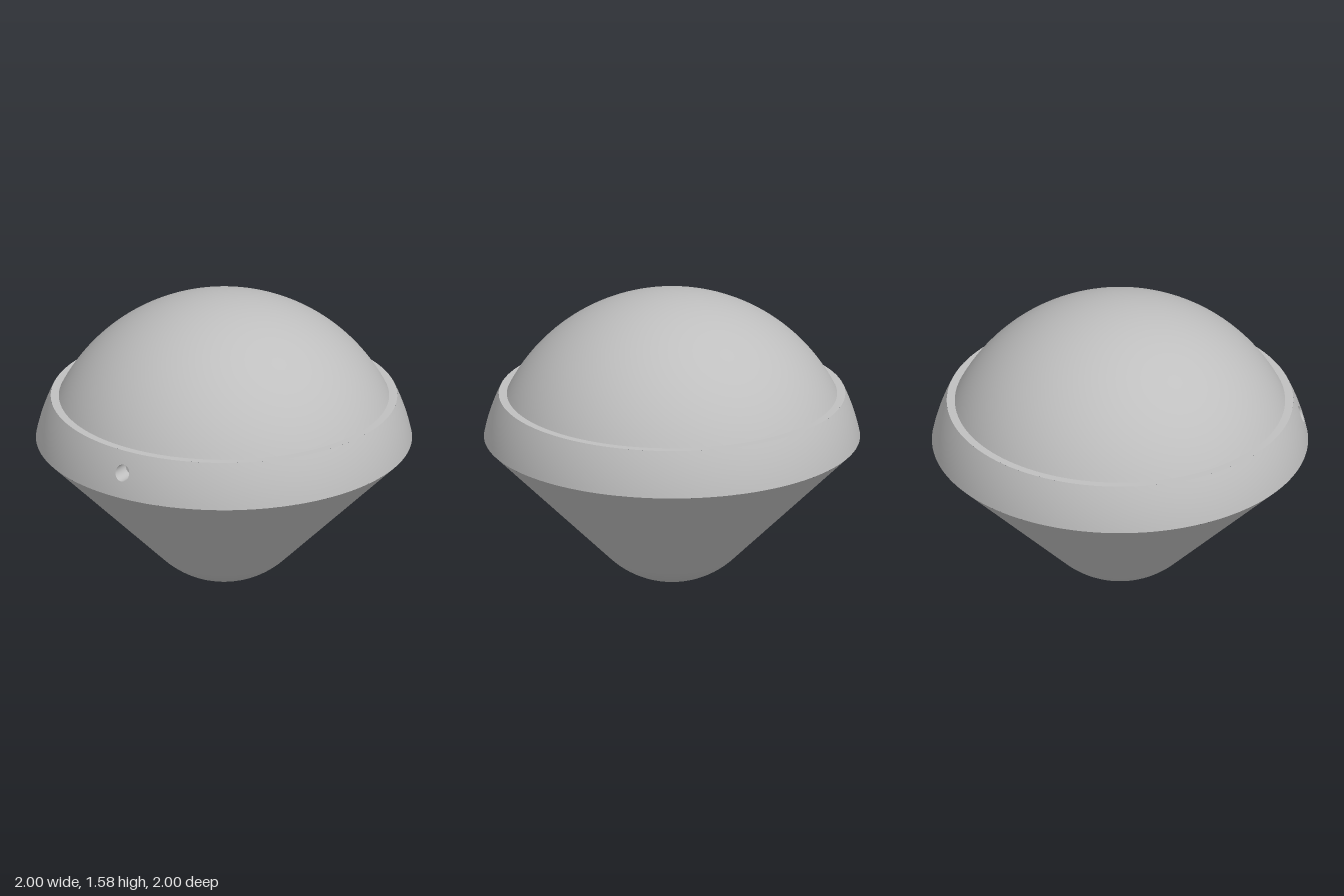
import * as THREE from 'three';

const CY = 0.6;            // shared centre height of dome and collar spheres
const R_DOME = 0.98, R_COLLAR = 1.019;
const Y_RIM = 0.795, Y_LIP = 1.035;
const HOLE_Y = 0.925, HOLE_R = 0.043, HOLE_Z = 0.87;
const GAP = 0.12;          // half angle of the collar patch around the hole

// Points of a circular arc in the profile plane; angle 0 points down.
function arc(r, cy, from, to, n) {
  return Array.from({ length: n + 1 }, (_, i) => {
    const a = from + (to - from) * i / n;
    return new THREE.Vector2(Math.max(0, r * Math.sin(a)), cy - r * Math.cos(a));
  });
}

// Grid mapped by fn(u, v) -> Vector3, with normals from normalFn(point).
function grid(nu, nv, fn, normalFn) {
  const g = new THREE.PlaneGeometry(1, 1, nu, nv);
  const p = g.attributes.position, nrm = g.attributes.normal;
  for (let i = 0; i < p.count; i++) {
    const q = fn(p.getX(i) + 0.5, p.getY(i) + 0.5);
    const n = normalFn(q).normalize();
    p.setXYZ(i, q.x, q.y, q.z);
    nrm.setXYZ(i, n.x, n.y, n.z);
  }
  return g;
}

export function createModel() {
  const group = new THREE.Group();
  const grey = new THREE.MeshStandardMaterial({ color: 0xbfbfbf });
  grey.name = 'lightGrey';
  const add = (name, geometry) => {
    const m = new THREE.Mesh(geometry, grey);
    m.name = name;
    group.add(m);
    return m;
  };
  const angleAt = (r, y) => Math.acos((CY - y) / r);
  const lipIn = R_DOME * Math.sin(angleAt(R_DOME, Y_LIP));
  const lipOut = R_COLLAR * Math.sin(angleAt(R_COLLAR, Y_LIP));

  // Rounded tip and cone
  const tip = arc(0.49, 0.49, 0, Math.PI / 4, 16);
  const end = tip[tip.length - 1];
  const rim = new THREE.Vector2(R_COLLAR * Math.sin(angleAt(R_COLLAR, Y_RIM)), Y_RIM);
  for (let i = 1; i <= 4; i++) tip.push(end.clone().lerp(rim, i / 4));
  add('lowerCone', new THREE.LatheGeometry(tip, 128));

  // Dome and the flat lip around it
  add('dome', new THREE.LatheGeometry(arc(R_DOME, CY, angleAt(R_DOME, Y_LIP), Math.PI, 40), 128));
  const lip = add('lip', new THREE.RingGeometry(lipIn, lipOut, 128));
  lip.rotation.x = -Math.PI / 2;
  lip.position.y = Y_LIP;

  // Collar, leaving a gap at the front for the drilled patch
  const collar = arc(R_COLLAR, CY, angleAt(R_COLLAR, Y_RIM), angleAt(R_COLLAR, Y_LIP), 12);
  add('collar', new THREE.LatheGeometry(collar, 128, GAP, Math.PI * 2 - 2 * GAP));

  // Perimeter of the patch as (angle, height), anticlockwise from the front
  const corners = [[GAP, Y_RIM], [GAP, Y_LIP], [-GAP, Y_LIP], [-GAP, Y_RIM]];
  const perimeter = u => {
    const s = Math.min(u * 4, 3.99999), k = Math.floor(s), t = u >= 1 ? 1 : s - k;
    const a = corners[k], b = corners[(k + 1) % 4];
    return [a[0] + (b[0] - a[0]) * t, a[1] + (b[1] - a[1]) * t];
  };
  const onCollar = (phi, y) => {
    const r = Math.sqrt(R_COLLAR ** 2 - (y - CY) ** 2);
    return new THREE.Vector3(r * Math.sin(phi), y, r * Math.cos(phi));
  };
  const holeEdge = u => {
    const [phi, y] = perimeter(u);
    const t = Math.atan2(y - HOLE_Y, phi);
    const hy = HOLE_Y + HOLE_R * Math.sin(t);
    const r = Math.sqrt(R_COLLAR ** 2 - (hy - CY) ** 2);
    return [Math.asin(HOLE_R * Math.cos(t) / r), hy];
  };
  add('collarFrontPatch', grid(48, 6, (u, v) => {
    const [p0, y0] = perimeter(u), [p1, y1] = holeEdge(u);
    return onCollar(p0 + (p1 - p0) * v, y0 + (y1 - y0) * v);
  }, q => new THREE.Vector3(q.x, q.y - CY, q.z)));

  // Small round hole: inner wall and floor
  add('holeWall', grid(48, 1, (u, v) => {
    const q = onCollar(...holeEdge(u));
    q.z += (HOLE_Z - q.z) * v;
    return q;
  }, q => new THREE.Vector3(-q.x, HOLE_Y - q.y, 0)));
  add('holeFloor', new THREE.CircleGeometry(HOLE_R, 48)).position.set(0, HOLE_Y, HOLE_Z);

  return group;
}
